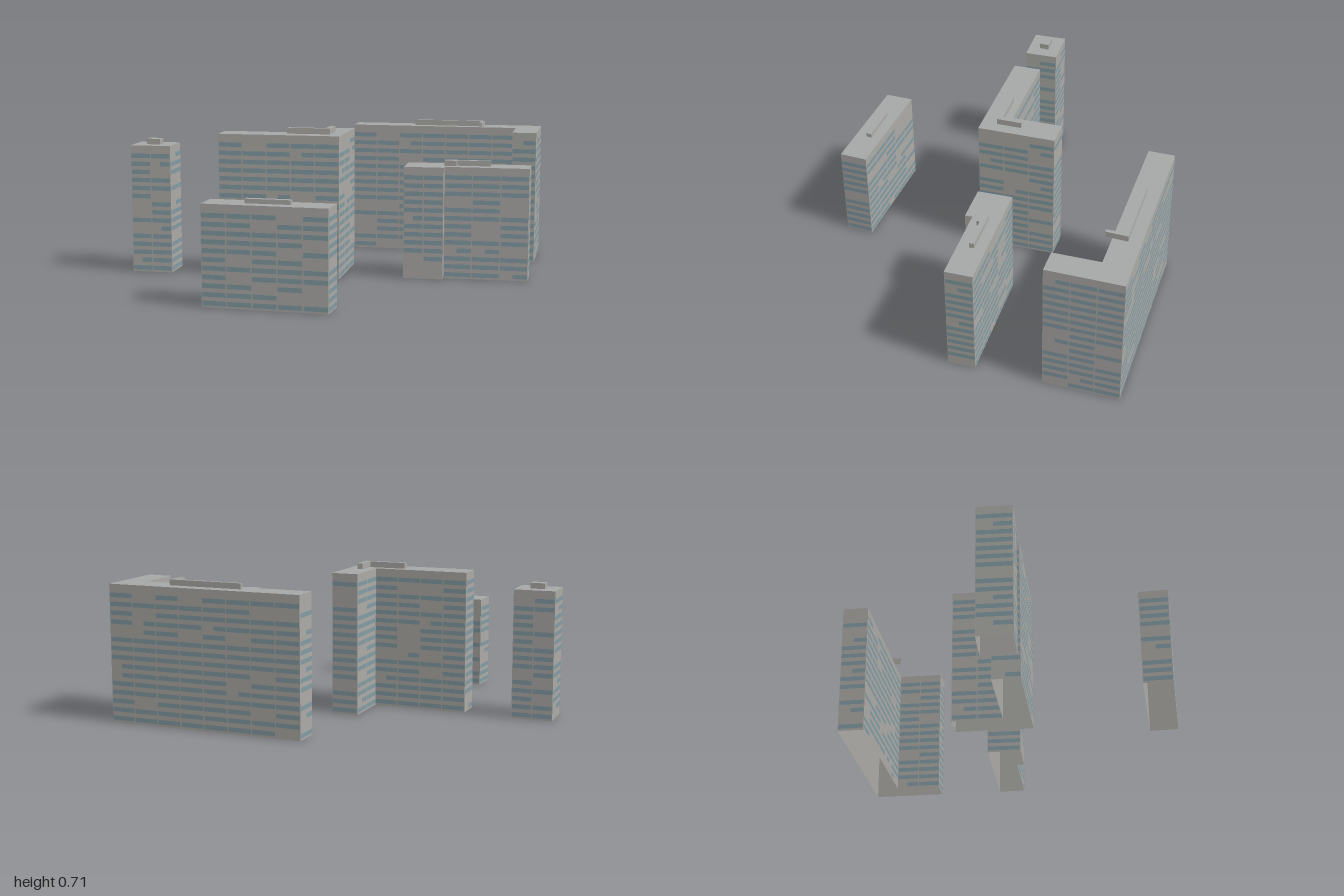
import * as THREE from 'three';
import { mergeGeometries } from 'three/addons/utils/BufferGeometryUtils.js';

// Footprints are [x, z] corners, running clockwise as seen from above
const BUILDINGS = [
  { name: 'largeAngledBlock', h: 0.655, top: 0.682,
    plan: [[-0.314, -0.637], [0.583, -1], [0.715, -0.668], [0.604, -0.626], [0.52, -0.832], [-0.267, -0.52]],
    plant: [[0.003, -0.7], [0.34, -0.837], [0.374, -0.74], [0.36, -0.731], [0.328, -0.812], [0.008, -0.684]] },
  { name: 'centralAngledBlock', h: 0.682, top: 0.71,
    plan: [[-0.145, -0.103], [-0.024, -0.15], [0.119, 0.198], [-0.425, 0.42], [-0.478, 0.298], [-0.05, 0.124]],
    plant: [[-0.029, 0.05], [-0.008, 0.04], [0.036, 0.15], [-0.155, 0.233], [-0.162, 0.209], [0.003, 0.14]] },
  { name: 'steppedSlab', h: 0.535, top: 0.56,
    plan: [[0.288, -0.15], [0.832, -0.378], [0.882, -0.258], [0.515, -0.103], [0.529, -0.071], [0.354, 0.002]],
    plant: [[0.483, -0.175], [0.68, -0.257], [0.69, -0.235], [0.546, -0.173], [0.549, -0.158], [0.496, -0.137]] },
  { name: 'smallTower', h: 0.618, top: 0.645,
    plan: [[-0.886, 0.451], [-0.705, 0.372], [-0.641, 0.52], [-0.821, 0.599]],
    plant: [[-0.805, 0.478], [-0.742, 0.451], [-0.726, 0.496], [-0.789, 0.52]] },
  { name: 'frontSlab', h: 0.455, top: 0.475,
    plan: [[-0.113, 0.863], [0.424, 0.668], [0.468, 0.795], [-0.066, 0.99]],
    plant: [[0.077, 0.853], [0.27, 0.779], [0.279, 0.805], [0.087, 0.877]] },
];

// Upright rectangle on the wall from a to b, spanning distances s0..s1 and heights y0..y1
function panel(a, b, s0, s1, y0, y1, out = 0) {
  const dx = b[0] - a[0], dz = b[1] - a[1], len = Math.hypot(dx, dz);
  const s = (s0 + s1) / 2 / len, nx = dz / len, nz = -dx / len;
  return new THREE.PlaneGeometry(s1 - s0, y1 - y0)
    .rotateY(Math.atan2(nx, nz))
    .translate(a[0] + dx * s + nx * out, (y0 + y1) / 2, a[1] + dz * s + nz * out);
}

const eachWall = (plan, fn) => plan.forEach((a, i) => {
  const b = plan[(i + 1) % plan.length];
  fn(a, b, Math.hypot(b[0] - a[0], b[1] - a[1]));
});

function walls(plan, y0, y1) {
  const parts = [];
  eachWall(plan, (a, b, len) => parts.push(panel(a, b, 0, len, y0, y1)));
  return mergeGeometries(parts);
}

function flatRoof(plan, y) {
  const shape = new THREE.Shape(plan.map(([x, z]) => new THREE.Vector2(x, -z)));
  return new THREE.ShapeGeometry(shape).rotateX(-Math.PI / 2).translate(0, y, 0);
}

// Ribbon windows: one strip per bay and floor, with some bays left blank or short
function windowStrips(plan, h, random) {
  const parts = [], floors = Math.round(h / 0.0425), pitch = (h - 0.03) / floors;
  eachWall(plan, (a, b, len) => {
    if (len < 0.06) return;
    const bays = Math.max(1, Math.round(len / 0.125)), bay = len / bays;
    for (let f = 0; f < floors; f++) {
      const y = (f + 0.5) * pitch;
      for (let k = 0; k < bays; k++) {
        const r = random();
        if (r < 0.13) continue;
        const width = r < 0.2 ? 0.55 : 1;
        parts.push(panel(a, b, k * bay + 0.003, (k + width) * bay - 0.003, y - 0.0105, y + 0.0105, 0.0015));
      }
    }
  });
  return mergeGeometries(parts);
}

export function createModel() {
  const wall = new THREE.MeshStandardMaterial({ color: 0xabaaa6, side: THREE.DoubleSide });
  wall.name = 'concrete';
  const roof = new THREE.MeshStandardMaterial({ color: 0xa6a8a7, side: THREE.DoubleSide });
  roof.name = 'roofing';
  const glass = new THREE.MeshStandardMaterial({ color: 0x829ba3 });
  glass.name = 'windowGlass';

  let seed = 7;
  const random = () => (seed = (seed * 16807) % 2147483647) / 2147483647;

  const model = new THREE.Group();
  model.name = 'apartmentBlocks';
  for (const { name, h, top, plan, plant } of BUILDINGS) {
    const building = new THREE.Group();
    building.name = name;
    const add = (part, geometry, material) => {
      const mesh = new THREE.Mesh(geometry, material);
      mesh.name = part;
      building.add(mesh);
    };
    // Open-bottomed shell with its roof
    add('walls', walls(plan, 0, h), wall);
    add('roof', flatRoof(plan, h), roof);
    add('windows', windowStrips(plan, h, random), glass);
    // Rooftop plant room
    add('plantRoomWalls', walls(plant, h, top), wall);
    add('plantRoomRoof', flatRoof(plant, top), roof);
    model.add(building);
  }
  return model;
}
